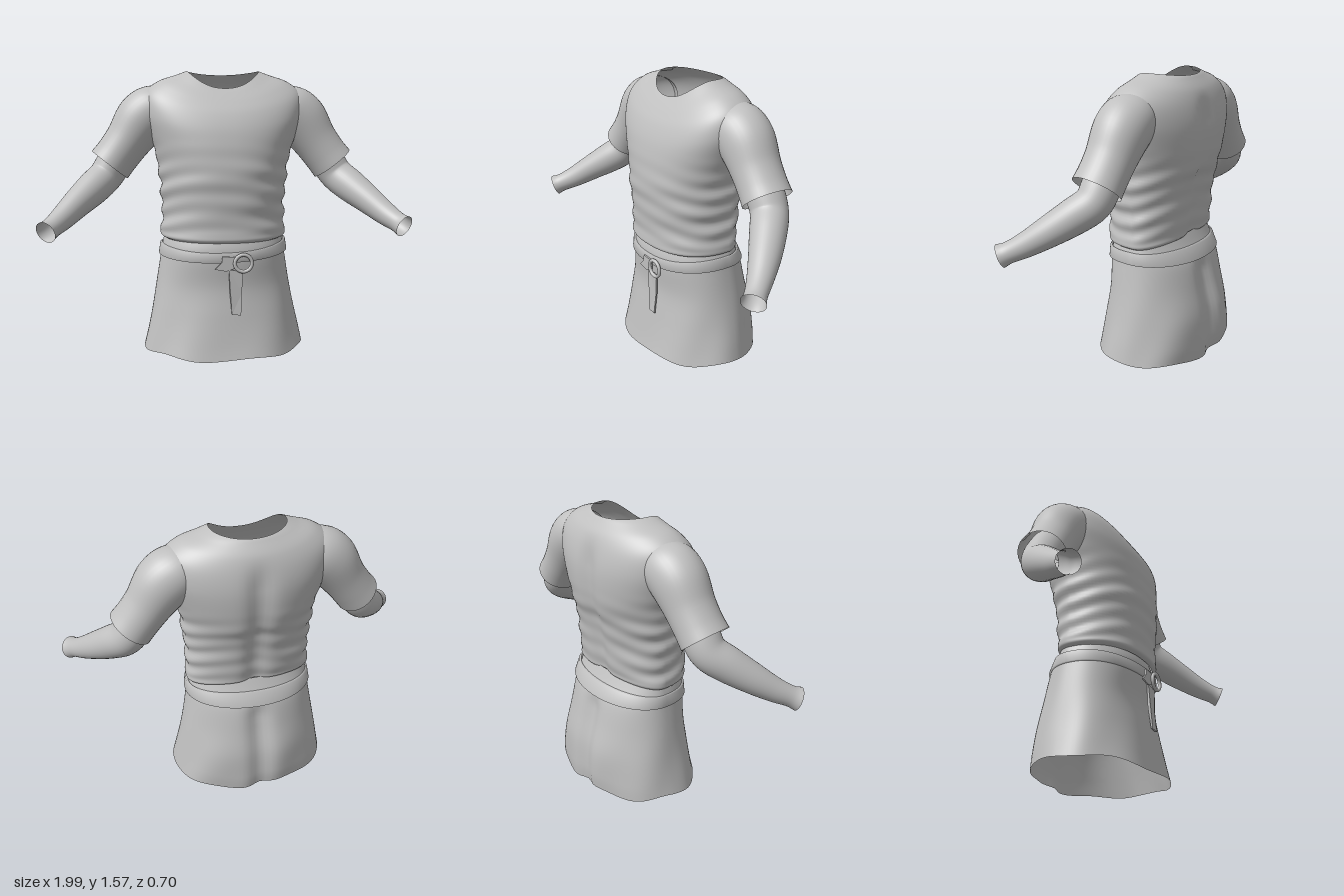
import * as THREE from 'three';

const cloth = new THREE.MeshStandardMaterial({ color: 0xc0c0c0, side: THREE.DoubleSide });
cloth.name = 'grey cloth';

// Catmull-Rom resampling of a table of rows
function sample(rows, n) {
  const out = [];
  for (let k = 0; k <= n; k++) {
    const t = (k / n) * (rows.length - 1);
    const i = Math.min(Math.floor(t), rows.length - 2), f = t - i;
    const [a, b, c, d] = [i - 1, i, i + 1, i + 2].map(j => rows[Math.max(0, Math.min(rows.length - 1, j))]);
    out.push(b.map((p, m) => p + 0.5 * f * (c[m] - a[m] +
      f * (2 * a[m] - 5 * p + 4 * c[m] - d[m] + f * (3 * (p - c[m]) + d[m] - a[m])))));
  }
  return out;
}

// Closed rings joined into one smooth open surface
function loft(name, rings, around, point) {
  const pos = [], idx = [];
  rings.forEach((r, i) => {
    for (let j = 0; j < around; j++) {
      pos.push(...point(r, (j / around) * Math.PI * 2, i));
      if (i === rings.length - 1) continue;
      const a = i * around + j, b = i * around + (j + 1) % around;
      idx.push(a, b, a + around, b, b + around, a + around);
    }
  });
  const g = new THREE.BufferGeometry();
  g.setAttribute('position', new THREE.Float32BufferAttribute(pos, 3));
  g.setIndex(idx);
  g.computeVertexNormals();
  const m = new THREE.Mesh(g, cloth);
  m.name = name;
  return m;
}

// Body section; row = [side y, front y, back y, half width, front z, back z]
function bodyPoint([ys, yf, yb, w, zf, zb], a) {
  const c = Math.cos(a), s = Math.sin(a);
  const z0 = -0.04, e = s > 0 ? 0.88 : 0.97;
  const x = w * Math.sign(c) * Math.abs(c) ** e;
  const z = z0 + (s > 0 ? zf - z0 : z0 - zb) * Math.sign(s) * Math.abs(s) ** e;
  return [x, ys + ((s > 0 ? yf : yb) - ys) * s * s, z];
}

// Tube with changing section; row = [x, y, z, radius, radius toward z]
function limb(name, rows, side, n) {
  const rings = sample(rows, n).map(r => [r[0] * side, ...r.slice(1)]);
  const at = i => new THREE.Vector3(...rings[Math.max(0, Math.min(n, i))].slice(0, 3));
  return loft(name, rings, 36, (r, a, i) => {
    const t = at(i + 1).sub(at(i - 1)).normalize();
    const v = new THREE.Vector3(0, 0, 1).addScaledVector(t, -t.z).normalize();
    const u = v.clone().cross(t);
    return at(i).addScaledVector(u, Math.cos(a) * r[3]).addScaledVector(v, Math.sin(a) * r[4]).toArray();
  });
}

export function createModel() {
  const model = new THREE.Group();
  model.name = 'tunic';

  // Torso with waist folds and a groove down the back
  const torso = [
    [1.572, 1.475, 1.555, 0.20, 0.115, -0.19],
    [1.55, 1.45, 1.54, 0.26, 0.135, -0.205],
    [1.515, 1.40, 1.48, 0.36, 0.17, -0.25],
    [1.45, 1.34, 1.40, 0.435, 0.205, -0.28],
    [1.35, 1.26, 1.30, 0.445, 0.235, -0.297],
    [1.23, 1.17, 1.18, 0.41, 0.253, -0.295],
    [1.11, 1.08, 1.08, 0.372, 0.262, -0.28],
    [1.0, 1.0, 1.0, 0.358, 0.265, -0.255],
    [0.9, 0.9, 0.9, 0.347, 0.26, -0.235],
    [0.8, 0.79, 0.8, 0.343, 0.25, -0.225],
    [0.71, 0.70, 0.72, 0.348, 0.25, -0.212],
    [0.672, 0.665, 0.695, 0.352, 0.25, -0.208],
    [0.655, 0.65, 0.68, 0.33, 0.228, -0.19],
  ];
  model.add(loft('torso', sample(torso, 84), 96, (r, a) => {
    const [x, y, z] = bodyPoint(r, a);
    const low = THREE.MathUtils.smoothstep(1.25 - y, 0, 0.3) * THREE.MathUtils.smoothstep(y, 0.66, 0.74);
    const side = 0.3 + 0.7 * Math.cos(a) ** 2;
    const k = 1 + 0.022 * low * side * Math.sin(y * 62 + 2.5 * Math.sin(a * 2 + 1)) +
      0.008 * low * Math.sin(y * 34 + a * 3);
    const groove = z < -0.1 ? 0.028 * Math.exp(-((x / 0.06) ** 2)) * THREE.MathUtils.smoothstep(1.5 - y, 0, 0.2) : 0;
    return [x * k, y, z * k + groove];
  }));

  // Skirt with a wavy hem and a pleat at the back
  const skirt = [
    [0.68, 0.67, 0.70, 0.325, 0.215, -0.19],
    [0.62, 0.61, 0.63, 0.342, 0.232, -0.225],
    [0.55, 0.54, 0.55, 0.353, 0.235, -0.272],
    [0.4, 0.4, 0.4, 0.378, 0.228, -0.31],
    [0.25, 0.25, 0.25, 0.405, 0.25, -0.345],
    [0.12, 0.1, 0.1, 0.432, 0.277, -0.352],
    [0.035, 0.015, 0.012, 0.45, 0.295, -0.345],
  ];
  model.add(loft('skirt', sample(skirt, 42), 96, (r, a) => {
    const [x, y, z] = bodyPoint(r, a);
    const f = THREE.MathUtils.smoothstep(0.55 - y, 0, 0.5);
    const k = 1 + 0.014 * f * Math.sin(a * 7 + y * 6);
    const groove = z < -0.1 ? 0.035 * Math.exp(-((x / 0.06) ** 2)) * THREE.MathUtils.smoothstep(0.62 - y, 0, 0.15) : 0;
    return [x * k, y + 0.008 * f * f * Math.sin(a * 6), z * k + groove];
  }));

  // Belt, slightly tilted
  const belt = [
    [0.632, 0.6, 0.635, 0.343, 0.234, -0.225],
    [0.63, 0.597, 0.632, 0.355, 0.246, -0.24],
    [0.57, 0.548, 0.562, 0.364, 0.248, -0.278],
    [0.567, 0.545, 0.56, 0.35, 0.234, -0.266],
  ];
  model.add(loft('belt', belt, 96, (r, a) => {
    const [x, y, z] = bodyPoint(r, a);
    return [x, y + 0.027 * x, z];
  }));

  // Ring buckle
  const buckle = new THREE.Mesh(new THREE.TorusGeometry(0.046, 0.010, 12, 40), cloth);
  buckle.name = 'ringBuckle';
  buckle.position.set(0.082, 0.548, 0.262);
  model.add(buckle);

  // Hanging strap and short belt tab beside the buckle
  const plate = (name, points, z, bend) => {
    const g = new THREE.ExtrudeGeometry(new THREE.Shape(points.map(p => new THREE.Vector2(...p))),
      { depth: 0.009, bevelEnabled: false });
    const p = g.attributes.position;
    for (let i = 0; i < p.count; i++) p.setZ(i, p.getZ(i) + z + bend(p.getY(i)));
    g.computeVertexNormals();
    const m = new THREE.Mesh(g, cloth);
    m.name = name;
    model.add(m);
  };
  plate('hangingStrap', [[0.02, 0.265], [0.07, 0.26], [0.075, 0.38], [0.082, 0.5], [0.005, 0.51], [0.01, 0.38]],
    0.242, y => 0.012 * Math.max(0, (0.38 - y) / 0.12));
  plate('beltTab', [[-0.07, 0.515], [-0.01, 0.503], [0.04, 0.52], [0.04, 0.58], [-0.03, 0.585], [-0.035, 0.55]], 0.248, () => 0);

  for (const side of [1, -1]) {
    const name = side > 0 ? 'left' : 'right';
    // Short outer sleeve
    model.add(limb(name + 'ShortSleeve', [
      [0.31, 1.405, -0.05, 0.105, 0.125],
      [0.37, 1.365, -0.055, 0.142, 0.145],
      [0.445, 1.305, -0.055, 0.15, 0.145],
      [0.525, 1.195, -0.05, 0.128, 0.132],
      [0.585, 1.115, -0.045, 0.122, 0.13],
      [0.63, 1.058, -0.04, 0.124, 0.134],
    ], side, 30));
    // Long inner sleeve, flared at the wrist
    model.add(limb(name + 'ForearmSleeve', [
      [0.55, 1.15, -0.05, 0.095, 0.1],
      [0.605, 1.07, -0.05, 0.097, 0.1],
      [0.655, 0.995, -0.035, 0.094, 0.096],
      [0.72, 0.935, 0.03, 0.092, 0.092],
      [0.80, 0.865, 0.12, 0.078, 0.08],
      [0.87, 0.80, 0.21, 0.064, 0.064],
      [0.92, 0.76, 0.28, 0.054, 0.055],
      [0.945, 0.742, 0.315, 0.06, 0.063],
    ], side, 35));
  }
  return model;
}
